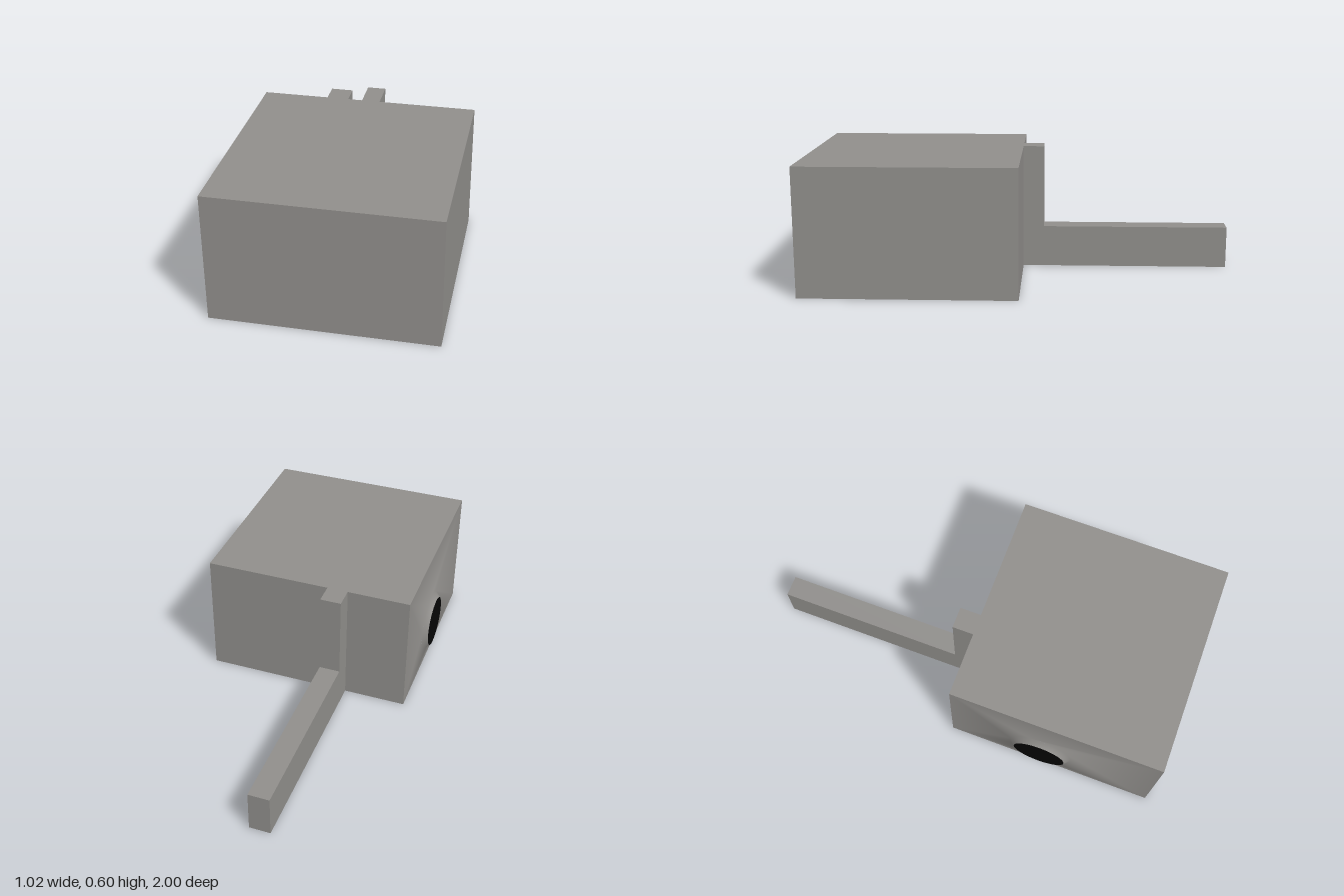
import * as THREE from 'three';

const CY = 0.2, CZ = 0.45, R_BASE = 0.15, R_CAP = 0.125, RAISE = 0.025, SIDES = 48;

// Blend the normals on the collar's base ring so it flows smoothly into the side panel.
function softenRing(geometry) {
  const p = geometry.attributes.position, n = geometry.attributes.normal;
  for (let i = 0; i < p.count; i++) {
    const dx = p.getX(i) - CZ, dy = p.getY(i) - CY, r = Math.hypot(dx, dy);
    if (Math.abs(r - R_BASE) < 0.002 && Math.abs(p.getZ(i)) < 0.001) {
      n.setXYZ(i, 0.38 * dx / r, 0.38 * dy / r, 0.925);
    }
  }
  return geometry;
}

export function createModel() {
  const group = new THREE.Group();
  const grey = new THREE.MeshStandardMaterial({ color: 0x908e8b });
  grey.name = 'warm grey';
  const black = new THREE.MeshStandardMaterial({ color: 0x050505 });
  black.name = 'black';

  const add = (parent, name, geometry, material) => {
    const mesh = new THREE.Mesh(geometry, material);
    mesh.name = name;
    parent.add(mesh);
    return mesh;
  };

  // Main block, leaving its -x face open for the panel with the collar
  const box = new THREE.BoxGeometry(1, 0.6, 1);
  const index = Array.from(box.index.array);
  index.splice(6, 6);
  box.setIndex(index);
  box.clearGroups();
  add(group, 'body', box, grey).position.set(0.01, 0.3, 0.5);

  // Side assembly is drawn in its own plane, then turned to face -x
  const side = new THREE.Group();
  side.name = 'sideAssembly';
  side.position.x = -0.49;
  side.rotation.y = -Math.PI / 2;
  group.add(side);

  const panel = new THREE.Shape([[0, 0], [1, 0], [1, 0.6], [0, 0.6]].map(([x, y]) => new THREE.Vector2(x, y)));
  panel.holes.push(new THREE.Path().absarc(CZ, CY, R_BASE, 0, Math.PI * 2, true));
  add(side, 'sidePanel', softenRing(new THREE.ShapeGeometry(panel, SIDES)), grey);

  const collar = new THREE.CylinderGeometry(R_CAP, R_BASE, RAISE, SIDES, 1, true);
  collar.rotateX(Math.PI / 2).translate(CZ, CY, RAISE / 2);
  add(side, 'collar', softenRing(collar), grey);

  add(side, 'collarCap', new THREE.CircleGeometry(R_CAP, SIDES), black).position.set(CZ, CY, RAISE);

  // L-shaped bracket: short upright against the back, long arm along the floor
  const profile = [[0, 0], [1, 0], [1, 0.2], [0.1, 0.2], [0.1, 0.6], [0, 0.6]];
  const bracket = new THREE.ExtrudeGeometry(
    new THREE.Shape(profile.map(([x, y]) => new THREE.Vector2(x, y))),
    { depth: 0.1, bevelEnabled: false });
  bracket.rotateY(Math.PI / 2);
  add(group, 'rearBracket', bracket, grey).position.x = -0.19;

  return group;
}
